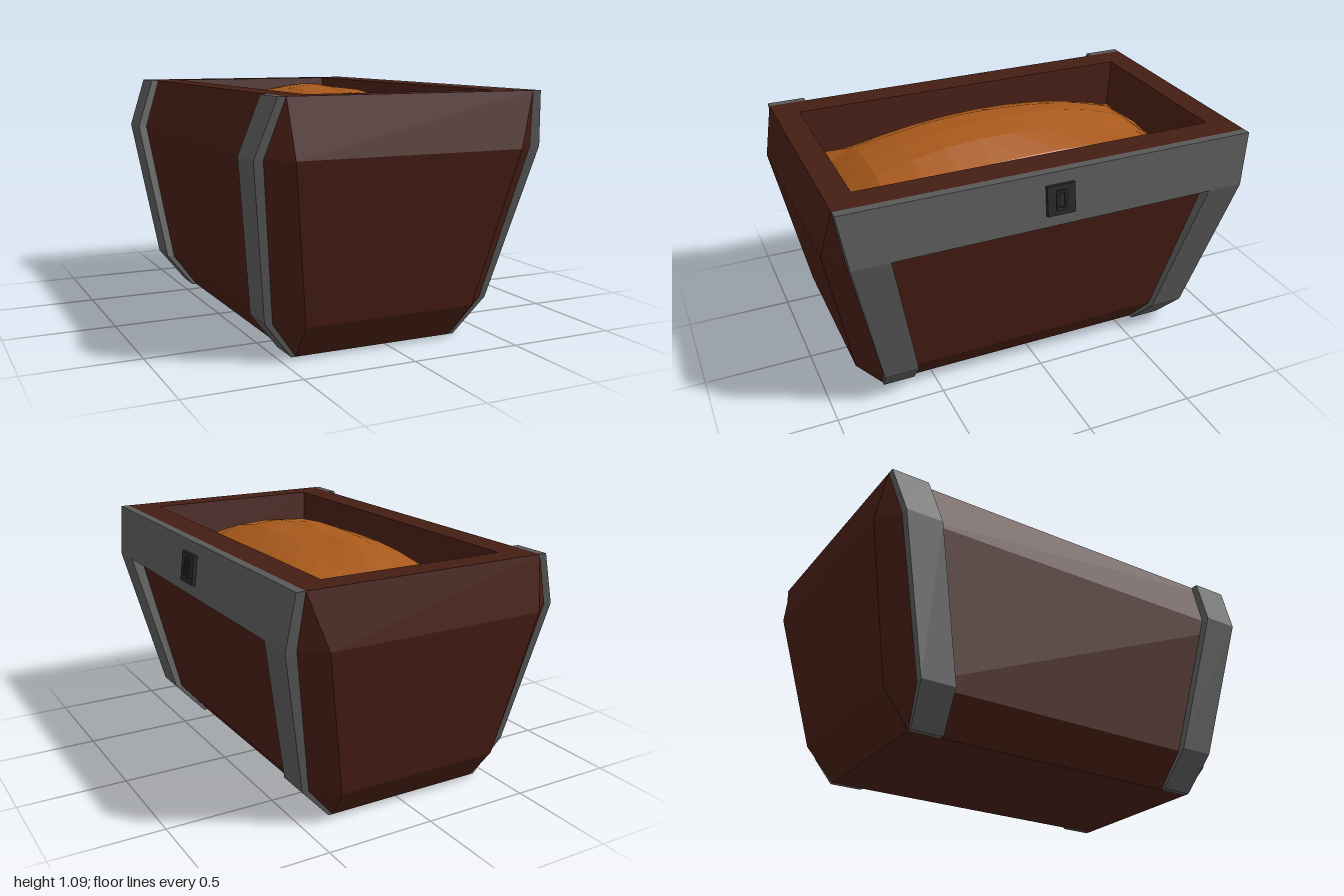
import * as THREE from 'three';

const mat = (color) => new THREE.MeshStandardMaterial({ color, flatShading: true });

// Skins a list of rings (arrays of [x, y, z]) and caps both ends.
// Rings run anticlockwise seen from above.
function loft(rings) {
  const pos = [];
  const tri = (a, b, c) => pos.push(...a, ...b, ...c);
  for (let i = 0; i < rings.length - 1; i++) {
    const lo = rings[i], hi = rings[i + 1], n = lo.length;
    for (let j = 0; j < n; j++) {
      const k = (j + 1) % n;
      tri(lo[j], lo[k], hi[k]);
      tri(lo[j], hi[k], hi[j]);
    }
  }
  const first = rings[0], last = rings[rings.length - 1];
  for (let j = 1; j < first.length - 1; j++) {
    tri(first[0], first[j + 1], first[j]);
    tri(last[0], last[j], last[j + 1]);
  }
  const g = new THREE.BufferGeometry();
  g.setAttribute('position', new THREE.Float32BufferAttribute(pos, 3));
  g.computeVertexNormals();
  return g;
}

// Rectangle with chamfered corners: c is the chamfer in x, zs where it meets the long side
const ring = (y, x0, x1, zs, ze = zs, c = 0) => [
  [x1, y, zs], [x1, y, -zs], [x1 - c, y, -ze], [x0 + c, y, -ze],
  [x0, y, -zs], [x0, y, zs], [x0 + c, y, ze], [x1 - c, y, ze],
];

// Plain rectangle between two x and two z values, in either order
const quad = (y, xa, xb, za, zb) => {
  const x0 = Math.min(xa, xb), x1 = Math.max(xa, xb);
  const z0 = Math.min(za, zb), z1 = Math.max(za, zb);
  return [[x1, y, z1], [x1, y, z0], [x0, y, z0], [x0, y, z1]];
};

export function createModel() {
  const group = new THREE.Group();
  const wood = mat(0x451d14), metal = mat(0x585858), dark = mat(0x262626), gold = mat(0xa8591b);
  const add = (name, geometry, material, parent = group) => {
    const mesh = new THREE.Mesh(geometry, material);
    mesh.name = name;
    parent.add(mesh);
    return mesh;
  };

  // Wooden box: outer wall, rim, then inner wall down to a floor
  add('chestBody', loft([
    ring(0, -0.42, 0.33, 0.74),
    ring(0.16, -0.535, 0.465, 0.77, 0.865, 0.105),
    ring(0.85, -0.63, 0.6, 0.92, 1.0, 0.1),
    ring(1.09, -0.55, 0.58, 0.955),
    ring(1.09, -0.42, 0.45, 0.84),
    ring(0.75, -0.4, 0.43, 0.8),
  ]), wood);

  // Corner straps: [y, inner x, outer x, near z, far z] per level
  const right = [
    [0, 0.33, 0.35, 0.59, 0.74],
    [0.16, 0.465, 0.495, 0.61, 0.77],
    [0.85, 0.6, 0.65, 0.75, 0.92],
  ];
  const left = [
    [0, -0.42, -0.44, 0.59, 0.74],
    [0.165, -0.535, -0.57, 0.61, 0.77],
    [0.85, -0.63, -0.67, 0.75, 0.92],
    [1.09, -0.55, -0.585, 0.78, 0.955],
  ];
  for (const s of [1, -1]) {
    const end = s > 0 ? 'Front' : 'Back';
    const strap = (levels) => loft(levels.map(([y, xi, xo, za, zb]) => quad(y, xi, xo, s * za, s * zb)));
    add('leftStrap' + end, strap(right), metal);
    add('rightStrap' + end, strap(left), metal);
  }

  // Band joining the two straps on the lock side
  add('topBand', loft([
    quad(0.85, 0.6, 0.65, -0.92, 0.92),
    quad(1.09, 0.58, 0.62, -0.955, 0.955),
  ]), metal);

  // Lock plate with a raised frame around the keyhole, tilted with the band
  const lock = new THREE.Group();
  lock.name = 'lock';
  lock.position.set(0.64, 0.97, 0);
  lock.rotation.z = 0.125;
  group.add(lock);
  add('lockPlate', new THREE.BoxGeometry(0.024, 0.135, 0.13), dark, lock);
  for (const s of [1, -1]) {
    add('keyholeSide', new THREE.BoxGeometry(0.008, 0.09, 0.012), dark, lock).position.set(0.014, 0, s * 0.019);
    add('keyholeEnd', new THREE.BoxGeometry(0.008, 0.012, 0.03), dark, lock).position.set(0.014, s * 0.039, 0);
  }

  // Uneven heap filling the box
  const heap = new THREE.PlaneGeometry(0.85, 1.63, 6, 10).rotateX(-Math.PI / 2);
  const p = heap.attributes.position;
  for (let i = 0; i < p.count; i++) {
    const u = p.getX(i) / 0.425, v = p.getZ(i) / 0.815;
    const dome = Math.pow(Math.max(0, (1 - u * u) * (1 - v * v)), 0.6);
    const bump = 0.014 * Math.sin(i * 12.9898) * Math.sin(i * 4.1);
    p.setXYZ(i, p.getX(i) + 0.015, 0.86 + 0.23 * dome + bump * (dome > 0.95 ? 0.4 : 1), p.getZ(i));
  }
  heap.computeVertexNormals();
  add('goldHeap', heap, gold);

  return group;
}
